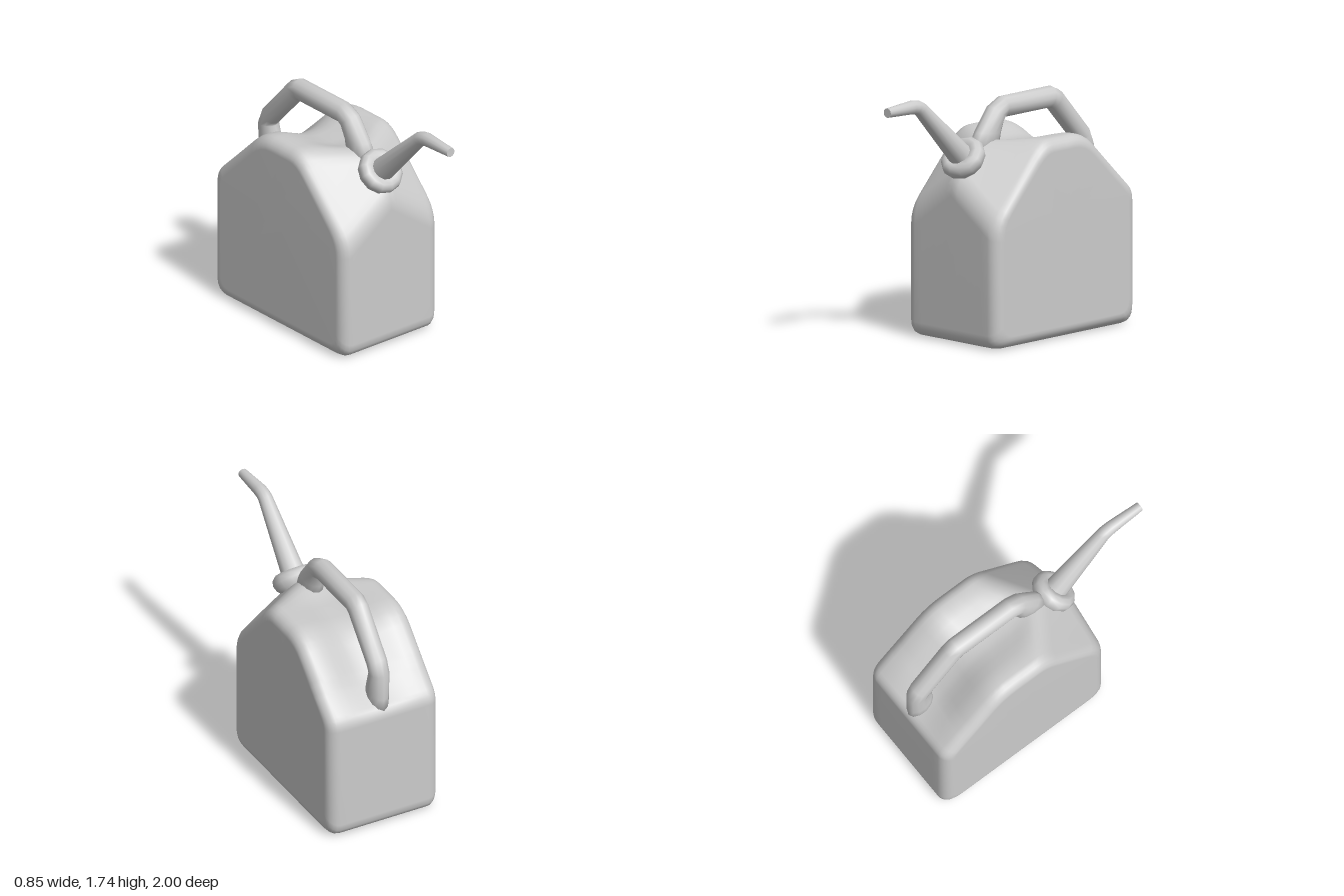
import * as THREE from 'three';
import { toCreasedNormals } from 'three/addons/utils/BufferGeometryUtils.js';

const lerp = THREE.MathUtils.lerp;

// Skin closed rings of points (clockwise as seen from the last ring) and cap both ends.
function loft(rings) {
  const n = rings[0].length, pos = [], idx = [];
  rings.forEach(r => r.forEach(p => pos.push(p.x, p.y, p.z)));
  for (let i = 0; i < rings.length - 1; i++) {
    for (let j = 0; j < n; j++) {
      const a = i * n + j, b = i * n + (j + 1) % n;
      idx.push(a, a + n, b, b, a + n, b + n);
    }
  }
  [0, rings.length - 1].forEach((k, end) => {
    const c = new THREE.Vector3();
    rings[k].forEach(p => c.addScaledVector(p, 1 / n));
    const ci = pos.length / 3;
    pos.push(c.x, c.y, c.z);
    for (let j = 0; j < n; j++) {
      const a = k * n + j, b = k * n + (j + 1) % n;
      if (end) idx.push(ci, b, a); else idx.push(ci, a, b);
    }
  });
  const g = new THREE.BufferGeometry();
  g.setAttribute('position', new THREE.Float32BufferAttribute(pos, 3));
  g.setIndex(idx);
  g.computeVertexNormals();
  return g;
}

// Bent tube: each station is [outer z, outer y, inner z, inner y, half width].
function bentTube(stations, sides) {
  return loft(stations.map(([z1, y1, z2, y2, rx]) =>
    Array.from({ length: sides }, (_, j) => {
      const t = j / sides * Math.PI * 2, c = Math.cos(t) / 2;
      return new THREE.Vector3(rx * Math.sin(t),
        (y1 + y2) / 2 + (y1 - y2) * c, (z1 + z2) / 2 + (z1 - z2) * c);
    })));
}

// Side outline of the can at x: [edge z, edge y, centre z, centre y, rounding, blend]
const OUTLINE = [
  [0.38, 0.88, 0.38, 1.14, 0.12, 'front'],
  [-0.1, 1.385, 0.11, 1.385, 0.12, 'front'],
  [-0.26, 1.385, -0.14, 1.33, 0.06, 'valley'],
  [-0.52, 1.385, -0.48, 1.31, 0.13, 'valley'],
  [-0.8, 1.112, -0.76, 1.07, 0.06, 'valley'],
  [-1, 0.92, -1, 0.92, 0.06, 'valley'],
  [-1, 0, -1, 0, 0.1, 'valley'],
  [0.38, 0, 0.38, 0, 0.1, 'valley'],
];

function bodyRing(x, inset) {
  const ax = Math.abs(x);
  const blend = {
    front: Math.min(1, ax / 0.36),
    valley: THREE.MathUtils.smoothstep(ax, 0.03, 0.32),
  };
  const pts = OUTLINE.map(([ez, ey, cz, cy, , b]) =>
    new THREE.Vector2(lerp(cz, ez, blend[b]), lerp(cy, ey, blend[b])));
  const ring = [], s = 1 - inset / 0.69, steps = 4;
  pts.forEach((p, i) => {
    const r = OUTLINE[i][4];
    const toward = q => p.clone().add(q.clone().sub(p).setLength(Math.min(r, q.distanceTo(p) * 0.45)));
    const a = toward(pts[(i + 7) % 8]), b = toward(pts[(i + 1) % 8]);
    new THREE.QuadraticBezierCurve(a, p, b).getPoints(steps).forEach(q =>
      ring.push(new THREE.Vector3(x, 0.69 + (q.y - 0.69) * s, -0.31 + (q.x + 0.31) * s)));
  });
  return ring;
}

export function createModel() {
  const group = new THREE.Group();
  const material = new THREE.MeshStandardMaterial({ color: 0xcccccc });
  const add = (name, geometry) => {
    const m = new THREE.Mesh(geometry, material);
    m.name = name;
    group.add(m);
    return m;
  };

  // Can body: rounded sides, bulging front shoulder, shallow hollow under the handle
  const R = 0.085, half = [];
  for (const x of [0.05, 0.1, 0.16, 0.22, 0.28]) half.push([x, 0]);
  for (let i = 0; i <= 5; i++) {
    const t = i / 5 * Math.PI / 2;
    half.push([0.425 - R + R * Math.sin(t), R * (1 - Math.cos(t))]);
  }
  const sections = [...half.map(([x, d]) => [-x, d]).reverse(), [0, 0], ...half];
  add('canBody', loft(sections.map(([x, d]) => bodyRing(x, d))));

  // Handle, from its rear foot over the top to its front foot
  add('handle', bentTube([
    [-0.985, 0.88, -0.77, 0.98, 0.075],
    [-0.985, 1.0, -0.8, 1.1, 0.073],
    [-0.985, 1.19, -0.842, 1.19, 0.072],
    [-0.94, 1.3, -0.825, 1.215, 0.072],
    [-0.67, 1.6, -0.58, 1.478, 0.073],
    [-0.59, 1.64, -0.56, 1.49, 0.073],
    [-0.12, 1.64, -0.115, 1.49, 0.073],
    [0, 1.583, -0.108, 1.475, 0.073],
    [0.13, 1.42, -0.085, 1.4, 0.073],
    [0.2, 1.3, -0.06, 1.28, 0.078],
  ], 12));

  // Spout with a bent, tapering nozzle
  add('spout', toCreasedNormals(bentTube([
    [0.2, 1.33, 0.33, 1.21, 0.085],
    [0.26, 1.375, 0.375, 1.26, 0.08],
    [0.645, 1.705, 0.715, 1.632, 0.05],
    [0.69, 1.728, 0.735, 1.64, 0.048],
    [0.755, 1.74, 0.76, 1.643, 0.046],
    [1, 1.72, 1, 1.654, 0.034],
  ], 12), Math.PI / 3));

  // Rounded collar where the spout meets the shoulder
  const collar = add('spoutCollar', new THREE.LatheGeometry([
    [0.12, -0.1], [0.15, -0.07], [0.163, -0.03], [0.155, 0.005],
    [0.13, 0.028], [0.1, 0.03], [0.075, 0.02],
  ].map(p => new THREE.Vector2(...p)), 12));
  collar.position.set(0, 1.285, 0.28);
  collar.rotation.x = Math.PI / 4;

  return group;
}
